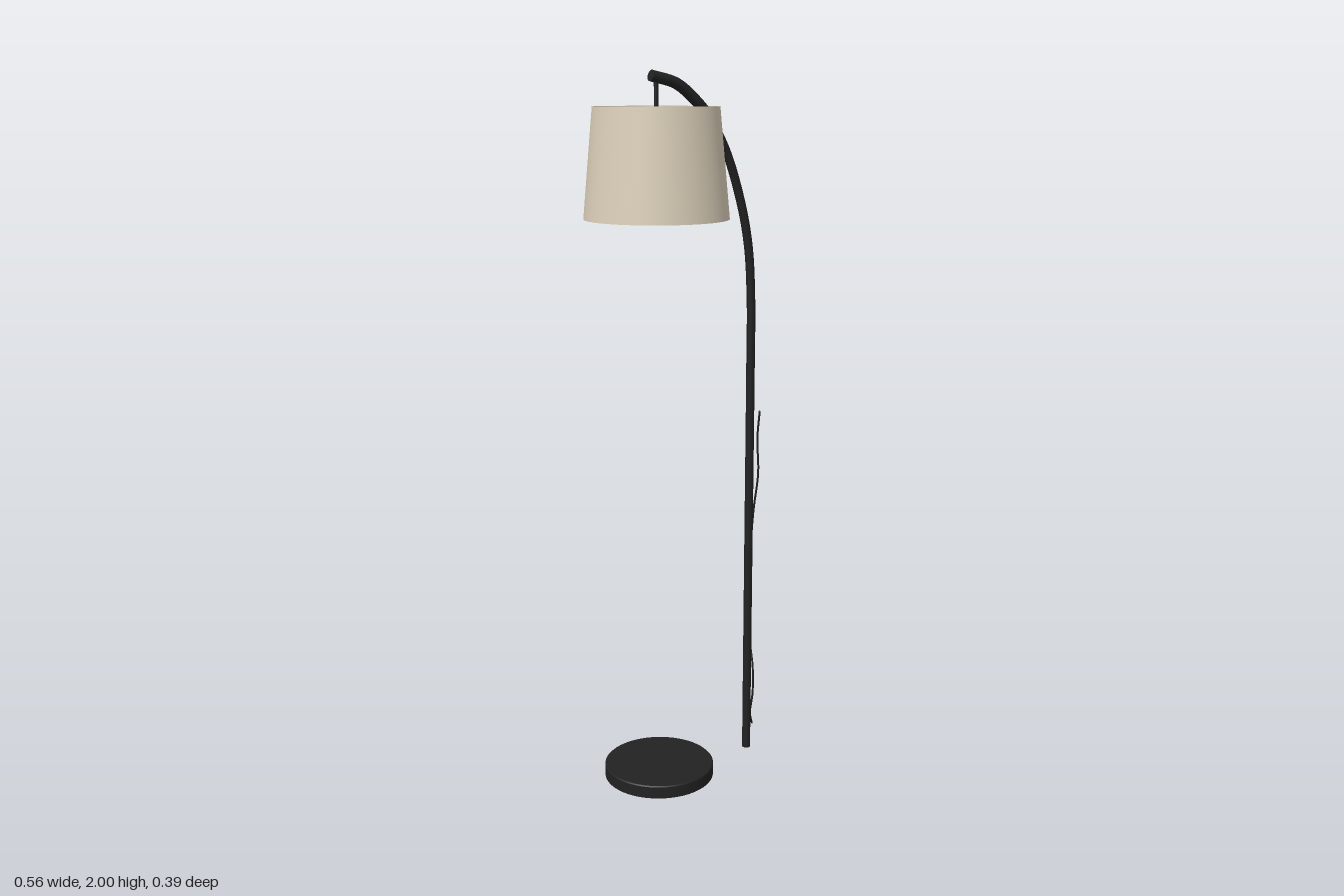
import * as THREE from 'three';

const v = (x, y, z = 0) => new THREE.Vector3(x, y, z);

export function createModel() {
  const lamp = new THREE.Group();
  lamp.name = 'floorLamp';
  const black = new THREE.MeshStandardMaterial({ color: 0x222222 });
  black.name = 'black metal';
  const linen = new THREE.MeshStandardMaterial({ color: 0xdbcfb9 });
  linen.name = 'linen';
  const headX = -0.087;

  const add = (name, geometry, material, x = 0, y = 0, z = -0.001) => {
    const mesh = new THREE.Mesh(geometry, material);
    mesh.name = name;
    mesh.position.set(x, y, z);
    lamp.add(mesh);
    return mesh;
  };

  // Round tube along a path, closed by a flat disc at each end
  const addTube = (name, points, radius, steps, sides) => {
    const path = new THREE.CatmullRomCurve3(points, false, 'centripetal');
    add(name, new THREE.TubeGeometry(path, steps, radius, sides), black);
    for (const t of [0, 1]) {
      const end = path.getPoint(t);
      const out = path.getTangent(t).multiplyScalar(t ? 1 : -1);
      const cap = add(name + 'Cap', new THREE.CircleGeometry(radius, sides), black, end.x, end.y, end.z - 0.001);
      cap.quaternion.setFromUnitVectors(v(0, 0, 1), out);
    }
  };

  // Weighted disc base below the shade
  const bevel = 0.003;
  const baseProfile = [[0, 0], [0.158, 0], [0.158, 0], [0.158, 0.037 - bevel], [0.158, 0.037 - bevel],
    [0.158 - bevel, 0.037], [0.158 - bevel, 0.037], [0, 0.037]];
  add('base', new THREE.LatheGeometry(baseProfile.map(p => new THREE.Vector2(...p)), 64), black, headX);

  // Straight pole bending into the arched arm
  const arch = [v(0.18, 1.67), v(0.127, 1.805), v(0.06, 1.9), v(-0.02, 1.963), v(-0.103, 1.985)];
  addTube('pole', [v(0.226, 0), v(0.226, 0.6), v(0.226, 1.2), v(0.225, 1.37), v(0.213, 1.53), ...arch], 0.0122, 140, 20);
  // Thicker sleeve at the shade end
  addTube('armSleeve', [v(0.075, 1.882), ...arch.slice(2)], 0.0152, 40, 20);

  // Hanger with a small holder at its foot
  add('hanger', new THREE.CylinderGeometry(0.006, 0.006, 0.1, 16), black, headX, 1.93);
  add('bulbHolder', new THREE.CylinderGeometry(0.013, 0.013, 0.016, 24), black, headX, 1.884);

  // Tapered open shade with a thin wall
  const shadeProfile = [[0.192, 1.615], [0.195, 1.615], [0.195, 1.615], [0.168, 1.907], [0.168, 1.907],
    [0.164, 1.907], [0.164, 1.907], [0.192, 1.615]];
  linen.side = THREE.DoubleSide;
  add('shade', new THREE.LatheGeometry(shadeProfile.map(p => new THREE.Vector2(...p)), 64), linen, headX);

  // Loose power cord winding up the pole
  addTube('cord', [
    v(0.28, 0.045, -0.046), v(0.26, 0.075, -0.025), v(0.243, 0.11, -0.005), v(0.238, 0.18, 0.014),
    v(0.238, 0.26, 0.013), v(0.242, 0.34, -0.009), v(0.242, 0.41, -0.014), v(0.238, 0.5, -0.004),
    v(0.238, 0.58, -0.004), v(0.245, 0.65, -0.013), v(0.246, 0.75, -0.004), v(0.245, 0.87, 0.018),
    v(0.242, 0.97, 0.016), v(0.241, 1.055, 0.027),
  ], 0.003, 120, 8);

  return lamp;
}
